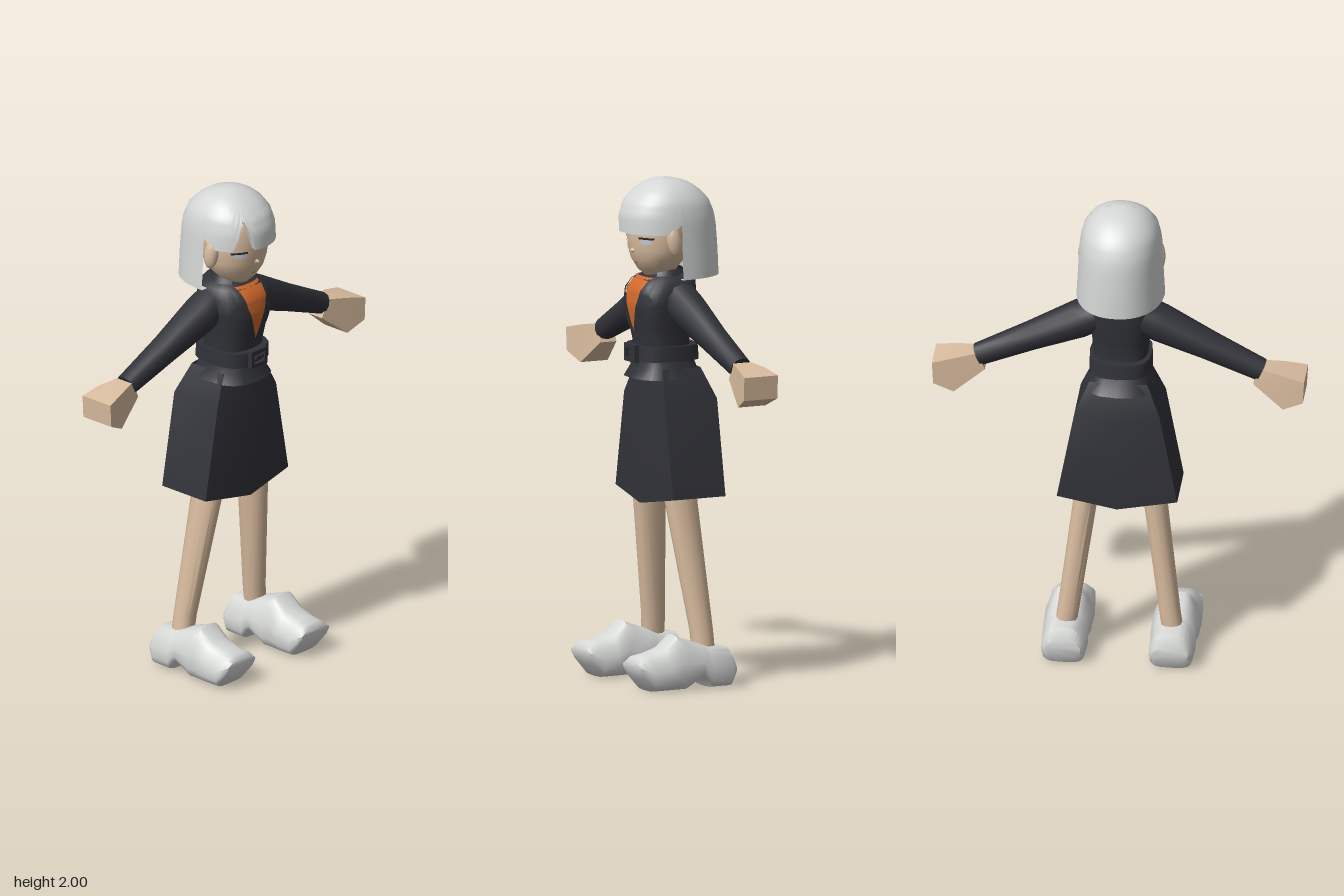
import * as THREE from 'three';
import { toCreasedNormals } from 'three/addons/utils/BufferGeometryUtils.js';

const mat = (name, color, side = THREE.FrontSide) => {
  const m = new THREE.MeshStandardMaterial({ color, side });
  m.name = name;
  return m;
};
const sp = (v, p) => Math.sign(v) * Math.abs(v) ** p;
const lerp = THREE.MathUtils.lerp;

// Skin over rows of [x, y, z] points
function grid(rows, { closed = false, cap0 = false, cap1 = false, crease = 0.7 } = {}) {
  const n = rows[0].length, idx = [], last = (rows.length - 1) * n;
  for (let j = 0; j < rows.length - 1; j++)
    for (let i = 0; i < (closed ? n : n - 1); i++) {
      const k = (i + 1) % n, a = j * n + i, d = j * n + k, b = a + n, c = d + n;
      idx.push(a, d, c, a, c, b);
    }
  for (let i = 1; i < n - 1; i++) {
    if (cap0) idx.push(0, i + 1, i);
    if (cap1) idx.push(last, last + i, last + i + 1);
  }
  const g = new THREE.BufferGeometry();
  g.setAttribute('position', new THREE.Float32BufferAttribute(rows.flat(2), 3));
  g.setIndex(idx);
  return toCreasedNormals(g, crease);
}
const solid = (rows, crease) => grid(rows, { closed: true, cap0: true, cap1: true, crease });

// Horizontal sections [y, half width, front z, back z, centre x]
const ring = ([y, hx, zf, zb, cx = 0], n, p) => Array.from({ length: n }, (_, i) => {
  const a = i / n * Math.PI * 2;
  return [cx + hx * sp(Math.sin(a), p), y, (zf + zb) / 2 + (zf - zb) / 2 * sp(Math.cos(a), p)];
});
const stack = (table, n = 32, p = 0.8, crease = 0.7) => solid(table.map(t => ring(t, n, p)), crease);

// Read a sorted table at a value of its first column
function sample(table, y) {
  let i = 0;
  while (i < table.length - 2 && y > table[i + 1][0]) i++;
  const t = THREE.MathUtils.clamp((y - table[i][0]) / (table[i + 1][0] - table[i][0]), 0, 1);
  return table[i].map((v, k) => lerp(v, table[i + 1][k], t));
}
// Thin patch on the front of a stack; edges are [y, x left, x right]
function patch(table, p, edges, off = 0.006, m = 14, k = 8) {
  const rows = [];
  for (let j = 0; j <= m; j++) {
    const y = lerp(edges[0][0], edges.at(-1)[0], j / m);
    const [, xa, xb] = sample(edges, y), [, hx, zf, zb] = sample(table, y);
    rows.push(Array.from({ length: k + 1 }, (_, i) => {
      const x = lerp(xa, xb, i / k);
      const f = Math.max(0, 1 - Math.abs(x / hx) ** (2 / p)) ** (p / 2);
      return [x, y, (zf + zb) / 2 + (zf - zb) / 2 * f + off];
    }));
  }
  return grid(rows);
}
function mirror(geo) {
  const g = (geo.index ? geo.toNonIndexed() : geo.clone()).scale(-1, 1, 1);
  for (const { array: a } of [g.attributes.position, g.attributes.normal])
    for (let i = 0; i < a.length; i += 9)
      for (let k = 3; k < 6; k++) [a[i + k], a[i + k + 3]] = [a[i + k + 3], a[i + k]];
  return g;
}

export function createModel() {
  const root = new THREE.Group();
  const hair = mat('silver hair', 0xd4d7d5, THREE.DoubleSide);
  const skin = mat('skin', 0xd9bc9f);
  const cloth = mat('dark cloth', 0x313238, THREE.DoubleSide);
  const shirt = mat('orange shirt', 0xd0692c, THREE.DoubleSide);
  const white = mat('shoe white', 0xd6d8d6);
  const dark = mat('eyelash', 0x2a2422);
  const eye = mat('eye', 0xc3ccd6);
  const lip = mat('lip', 0x9c7058);

  const add = (name, geo, m) => {
    const mesh = new THREE.Mesh(geo, m);
    mesh.name = name;
    root.add(mesh);
  };
  const pair = (name, geo, m) => {
    add(name + 'Left', geo, m);
    add(name + 'Right', mirror(geo), m);
  };

  // Head and face
  const head = [[1.615, .04, .065, -.03], [1.64, .08, .09, -.06], [1.68, .115, .112, -.09], [1.72, .13, .122, -.1],
    [1.77, .136, .126, -.12], [1.85, .14, .125, -.13], [1.93, .11, .09, -.11]];
  add('head', stack(head, 32, 0.95, 1.2), skin);
  add('nose', new THREE.ConeGeometry(.014, .022, 6).rotateX(Math.PI / 2).translate(0, 1.718, .127), skin);
  add('mouth', patch(head, .95, [[1.665, -.012, .012], [1.669, -.012, .012]], .003, 1, 2), lip);
  pair('eye', patch(head, .95, [[1.748, .06, .092], [1.768, .054, .104]], .003, 3), eye);
  pair('eyelash', patch(head, .95, [[1.767, .05, .108], [1.775, .05, .11]], .005, 1), dark);
  pair('ear', new THREE.SphereGeometry(1, 10, 8).scale(.022, .06, .03).rotateX(.15)
    .rotateY(-.25).translate(.15, 1.762, .018), skin);

  // Hair: sections [y, half width, front z, back z], shared by fringe and drape
  const hairTable = [[1.61, .174, .164, -.238], [1.72, .168, .164, -.234], [1.82, .163, .164, -.226], [1.86, .159, .163, -.217],
    [1.91, .147, .143, -.195], [1.95, .12, .105, -.155], [1.975, .09, .068, -.118], [1.992, .05, .03, -.07], [2, 0, -.01, -.01]];
  const hairShell = (angles, bottom) => {
    const rows = [];
    for (let j = -1; j <= 18; j++)
      rows.push(angles.map(a => {
        const b = bottom(a), y = lerp(b, 2, Math.sin(Math.max(j, 0) / 18 * Math.PI / 2));
        const [, hx, zf, zb] = sample(hairTable, y), c = Math.cos(a), s = j < 0 ? .82 : 1;
        return [s * hx * sp(Math.sin(a), .92), y, -.01 + s * (c > 0 ? (zf + .01) * c : (.01 + zb) * sp(-c, .92))];
      }));
    return grid(rows, { crease: 1 });
  };
  const arc = (a, b, n) => Array.from({ length: n + 1 }, (_, i) => lerp(a, b, i / n));
  const fringeEdge = [[-1.58, 1.83], [-1.3, 1.79], [-.82, 1.79], [-.5, 1.915], [-.24, 1.79], [1.3, 1.79], [1.58, 1.83]];
  const fringeAngles = [...arc(-Math.PI / 2, Math.PI / 2, 28), -.82, -.5, -.24].sort((a, b) => a - b);
  add('hairFringe', hairShell(fringeAngles, a => sample(fringeEdge, a)[1]), hair);
  add('hairBack', hairShell(arc(Math.PI / 2, Math.PI * 1.5, 28), () => 1.61), hair);

  // Jacket, shirt and collar
  const jacket = [[1.3, .108, .1, -.115], [1.35, .108, .098, -.105], [1.42, .115, .115, -.115], [1.5, .13, .126, -.125],
    [1.56, .134, .118, -.13], [1.6, .115, .09, -.13], [1.625, .075, .045, -.11]];
  add('jacket', stack(jacket, 32, .75), cloth);
  add('shirtFront', patch(jacket, .75, [[1.38, -.003, .003], [1.48, -.034, .034], [1.55, -.058, .058], [1.61, -.066, .066]], .004), shirt);
  add('turtleneck', stack([[1.56, .07, .065, -.07], [1.6, .064, .06, -.065], [1.645, .058, .05, -.06]], 20, 1), shirt);
  pair('lapel', patch(jacket, .75, [[1.38, 0, .008], [1.47, .03, .08], [1.53, .052, .114], [1.545, .056, .098], [1.61, .066, .09]], .009), cloth);
  const collar = [[1.58, .11, .09, -.12], [1.64, .078, .06, -.09]].map(([y, hx, zf, zb]) =>
    arc(.75, Math.PI * 2 - .75, 24).map(a => [hx * Math.sin(a), y, (zf + zb) / 2 + (zf - zb) / 2 * Math.cos(a)]));
  add('collar', grid(collar), cloth);

  // Belt, buckle and flared jacket hem
  add('belt', stack([[1.28, .125, .123, -.145], [1.34, .123, .123, -.14]], 16, .7), cloth);
  const frame = new THREE.Shape([[-.045, -.035], [.045, -.035], [.045, .035], [-.045, .035]].map(p => new THREE.Vector2(...p)));
  frame.holes.push(new THREE.Path([[-.03, -.02], [-.03, .02], [.03, .02], [.03, -.02]].map(p => new THREE.Vector2(...p))));
  add('buckleFrame', new THREE.ExtrudeGeometry(frame, { depth: .02, bevelEnabled: false }).translate(0, 1.31, .118), cloth);
  add('bucklePin', new THREE.BoxGeometry(.05, .012, .012).translate(.01, 1.31, .128), cloth);
  add('jacketHem', stack([[1.21, .138, .132, -.168], [1.25, .118, .108, -.135], [1.3, .108, .1, -.115]], 16, .7), cloth);

  // Skirt: six-sided, with its hem dipping at the middle
  const skirtRing = (y, hx, zf, zb, dip) => [[0, y - dip, zf], [hx, y, zf - .02], [hx, y, zb + .012],
    [0, y - dip, zb], [-hx, y, zb + .012], [-hx, y, zf - .02]];
  add('skirt', grid([skirtRing(.75, .238, .09, -.175, .04), skirtRing(1.13, .168, .09, -.175, .03),
    skirtRing(1.25, .115, .07, -.13, 0)], { closed: true, crease: .45 }), cloth);

  // Sleeves and hands
  const armRing = (x, y, z, hh, hd) => arc(0, Math.PI * 2, 12).slice(0, 12).map(a =>
    [x + .42 * hh * Math.cos(a), y + .91 * hh * Math.cos(a), z + hd * sp(Math.sin(a), .8)]);
  pair('sleeve', solid([armRing(.09, 1.525, -.035, .07, .075), armRing(.16, 1.49, -.038, .073, .075),
    armRing(.35, 1.405, -.045, .056, .058), armRing(.56, 1.312, -.056, .044, .044)]), cloth);
  const handRing = (xt, yt, xb, yb, z0, z1) => [[xt, yt, z0], [xt, yt, z1], [xb, yb, z1], [xb, yb, z0]];
  pair('hand', solid([handRing(.56, 1.336, .53, 1.265, -.092, -.02), handRing(.65, 1.322, .65, 1.172, -.118, .004),
    handRing(.735, 1.302, .73, 1.21, -.128, .022)], .5), skin);

  // Legs
  pair('leg', stack([[.12, .043, -.035, -.125, .212], [.22, .043, -.03, -.122, .198], [.72, .048, .045, -.09, .132],
    [.85, .05, .05, -.09, .115]], 12, .9), skin);

  // Shoes: sections [z, bottom, top, half width] from heel to toe
  const shoe = [[-.19, .04, .11, .07], [-.167, 0, .155, .086], [-.078, 0, .165, .09], [-.058, .03, .17, .09], [-.04, .042, .176, .09],
    [.03, 0, .2, .093], [.063, 0, .215, .093], [.115, 0, .167, .093], [.18, 0, .147, .09], [.225, .055, .138, .086], [.24, .085, .12, .078]];
  pair('shoe', solid(shoe.map(([z, b, t, w]) => arc(0, Math.PI * 2, 20).slice(0, 20).map(a => {
    const s = sp(Math.sin(a), .5);
    return [.2125 + w * (1 - .38 * Math.max(0, s)) * sp(Math.cos(a), .5), (b + t) / 2 + (t - b) / 2 * s, z];
  })), .9), white);

  return root;
}
